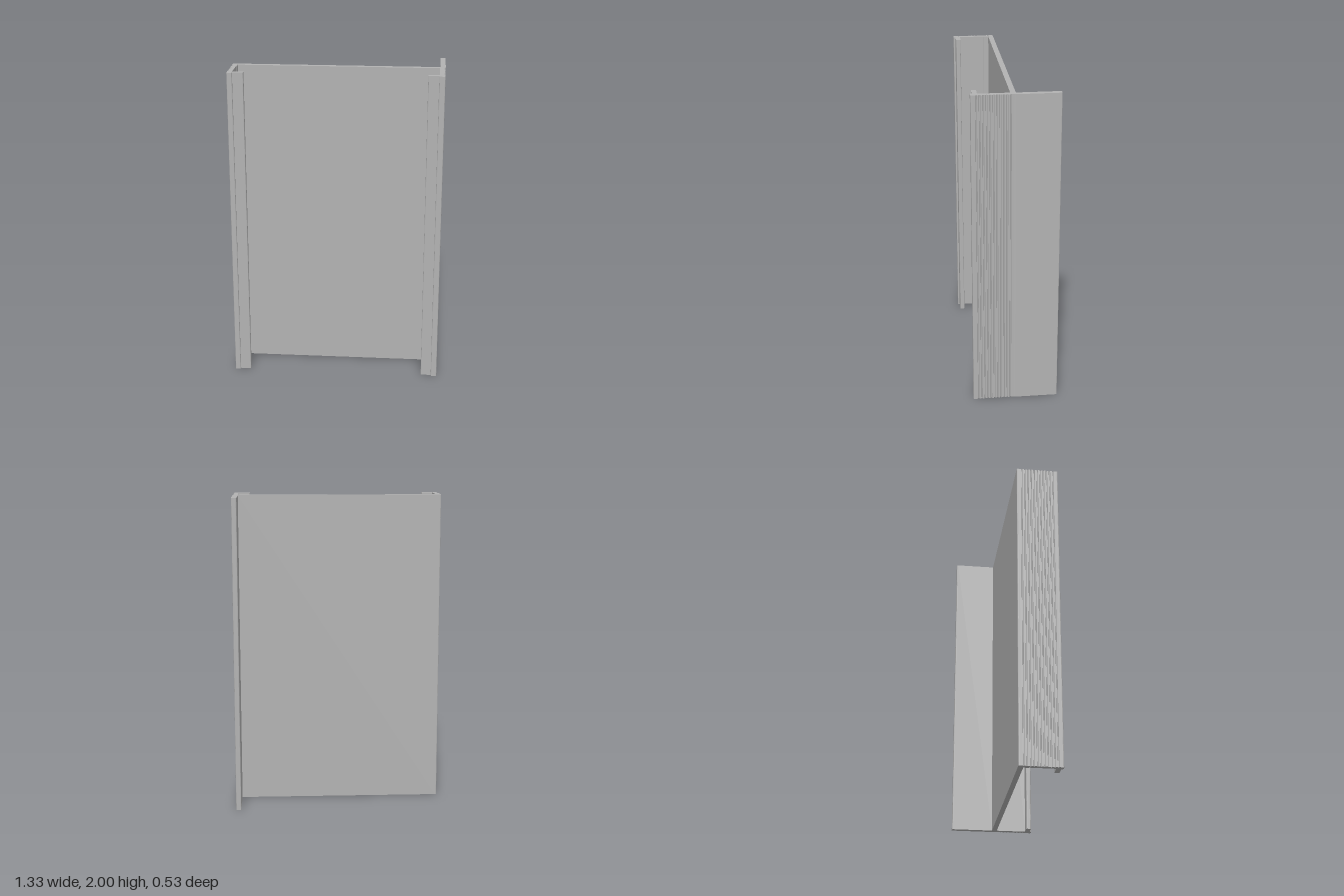
import * as THREE from 'three';

const HEIGHT = 2;

// Closed outline from [x, z, cornerRadius] points
function roundedOutline(points) {
  const shape = new THREE.Shape();
  const n = points.length;
  points.forEach(([x, z, r = 0], i) => {
    const corner = new THREE.Vector2(x, -z);
    const towards = ([px, pz]) =>
      new THREE.Vector2(px, -pz).sub(corner).setLength(r).add(corner);
    const a = towards(points[(i + n - 1) % n]);
    const b = towards(points[(i + 1) % n]);
    if (i === 0) shape.moveTo(a.x, a.y);
    else shape.lineTo(a.x, a.y);
    if (r > 0) shape.quadraticCurveTo(corner.x, corner.y, b.x, b.y);
  });
  return shape;
}

// Row of shallow grip grooves down an outer wall, from back to front
function grooves(x, side) {
  const pts = [];
  const count = 11, start = 0.026, pitch = 0.02;
  for (let i = 0; i < count; i++) {
    const z = start + i * pitch;
    pts.push(
      [x, z],
      [x - side * 0.007, z + 0.003],
      [x - side * 0.007, z + 0.007],
      [x, z + 0.01]
    );
  }
  return pts;
}

export function createModel() {
  const group = new THREE.Group();
  group.name = 'channelProfile';

  const aluminium = new THREE.MeshStandardMaterial({ color: 0xb2b2b2 });
  aluminium.name = 'grey aluminium';

  const r = 0.007;
  const outline = [
    // rear fin
    [0.632, 0], [0.632, -0.266, r], [0.665, -0.266, r], [0.665, 0.002],
    [0.663, 0.01],
    // +x wall with grooves, foot and inward lip
    ...grooves(0.663, 1),
    [0.663, 0.264, r], [0.626, 0.264, r], [0.626, 0.252],
    [0.56, 0.252, r], [0.56, 0.222, r], [0.63, 0.222],
    // inside of the back panel
    [0.63, 0.032], [-0.631, 0.032],
    // -x wall: thickened root, lip and foot
    [-0.631, 0.062], [-0.635, 0.067], [-0.635, 0.222],
    [-0.564, 0.222, r], [-0.564, 0.252, r], [-0.631, 0.252],
    [-0.631, 0.264, r], [-0.665, 0.264, r],
    ...grooves(-0.665, -1).reverse(),
    [-0.665, 0, r],
  ];

  // One continuous cross-section drawn upward
  const geometry = new THREE.ExtrudeGeometry(roundedOutline(outline), {
    depth: HEIGHT, bevelEnabled: false, curveSegments: 4,
  });
  geometry.rotateX(-Math.PI / 2);

  const profile = new THREE.Mesh(geometry, aluminium);
  profile.name = 'extrudedChannel';
  group.add(profile);
  return group;
}
